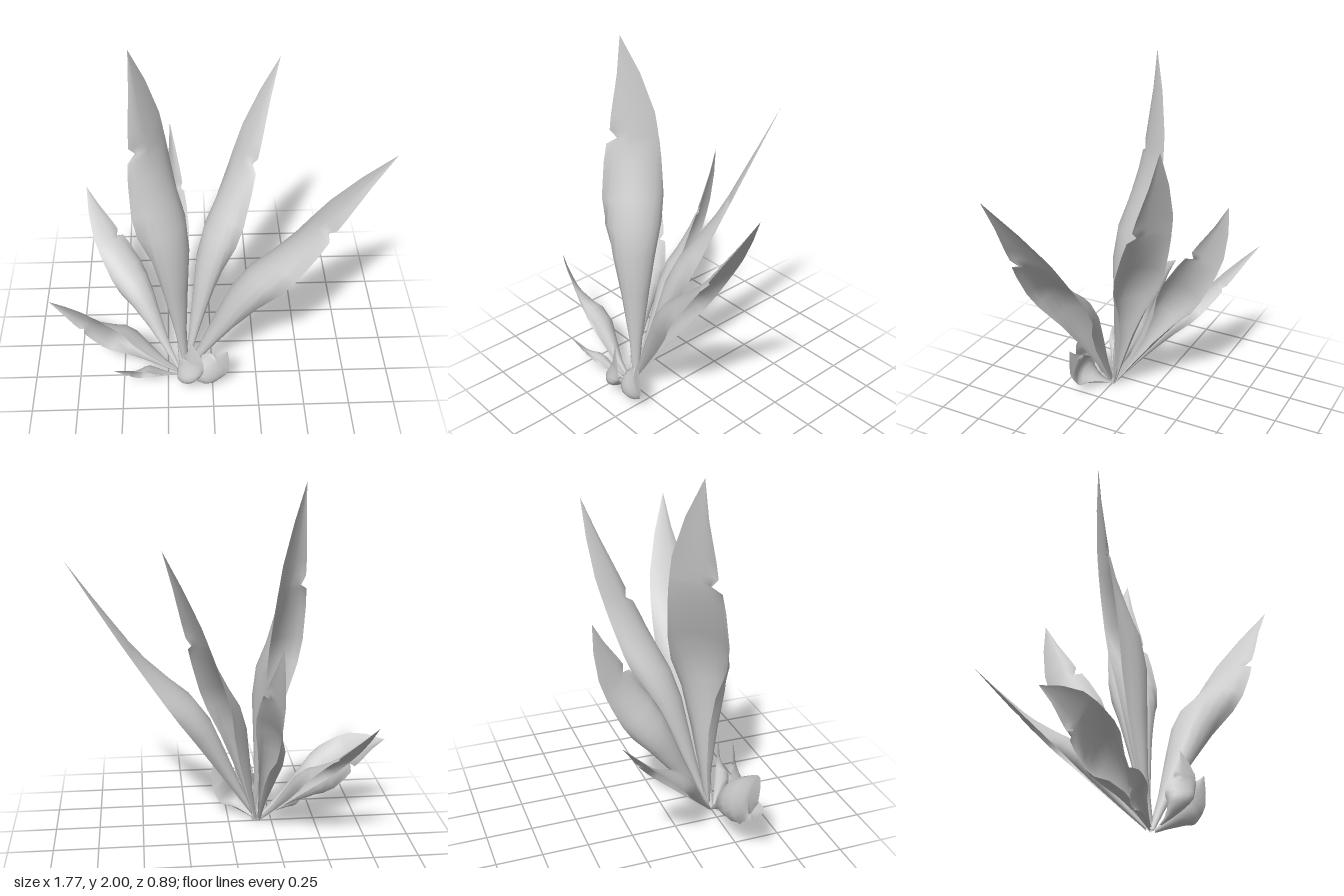
import * as THREE from 'three';

const V = (a) => new THREE.Vector3(...a);

// Blade outline: [position along blade, left width, right width, half angle of the curled section]
// The stem end curls almost into a tube, the tip is nearly flat, the right edge has a torn notch
const ROWS = [
  [0, 0.08, 0.08, 150],
  [0.12, 0.22, 0.22, 150],
  [0.25, 0.46, 0.46, 145],
  [0.36, 0.7, 0.7, 130],
  [0.45, 0.93, 0.93, 100],
  [0.52, 1, 1, 75],
  [0.62, 0.98, 0.87, 45],
  [0.675, 0.95, 0.74, 34],
  [0.69, 0.93, 0.38, 32],
  [0.715, 0.91, 0.6, 30],
  [0.76, 0.86, 0.52, 26],
  [0.88, 0.5, 0.22, 20],
  [1, 0, 0, 15],
];
const ACROSS = 10;

// Each leaf: base, middle and tip of the line between its edges, half-width vector to the notched edge, bulge side
const LEAVES = [
  ['tallLeaf', [-0.15, 0.02, 0.23], [-0.295, 1.09, 0.1], [-0.39, 2.0, 0.08], [-0.11, -0.01, 0.125], -1],
  ['backLeftLeaf', [-0.15, 0.02, 0.23], [0.1, 0.885, -0.06], [0.37, 1.74, -0.31], [0.065, -0.02, 0.115], 1],
  ['sideLeftLeaf', [-0.16, 0.01, 0.25], [0.37, 0.79, 0.265], [0.88, 1.56, 0.34], [0.035, 0.03, 0.16], 1],
  ['backLeaf', [-0.17, 0.02, 0.23], [-0.165, 0.7, -0.18], [-0.21, 1.27, -0.43], [0.05, 0.06, 0.09], 1],
  ['backRightLeaf', [-0.19, 0.02, 0.23], [-0.47, 0.44, -0.13], [-0.7, 0.84, -0.44], [0.08, 0.02, -0.07], 1],
  ['sideRightLeaf', [-0.18, 0.02, 0.26], [-0.56, 0.31, 0.27], [-0.89, 0.52, 0.18], [-0.04, -0.115, -0.05], 1],
  ['smallRightLeaf', [-0.2, 0.02, 0.27], [-0.39, 0.11, 0.355], [-0.55, 0.19, 0.39], [-0.015, -0.055, -0.03], 1],
  ['smallFrontLeaf', [-0.18, 0.03, 0.31], [-0.125, 0.18, 0.385], [-0.12, 0.39, 0.39], [-0.068, 0, -0.037], -1],
  ['smallLeftLeaf', [-0.16, 0.01, 0.26], [-0.01, 0.15, 0.34], [0.08, 0.32, 0.39], [-0.05, 0.075, -0.02], -1],
];

// Curled blade lofted along a curve through base, middle and tip
function leafGeometry(base, middle, tip, half, bulge) {
  const a = V(base), b = V(tip), side = V(half);
  const control = V(middle).multiplyScalar(2).addScaledVector(a, -0.5).addScaledVector(b, -0.5);
  const spine = new THREE.QuadraticBezierCurve3(a, control, b);
  const pos = [], index = [];
  for (const [t, left, right, degrees] of ROWS) {
    const center = spine.getPoint(t);
    const normal = side.clone().cross(spine.getTangent(t)).normalize();
    const angle = THREE.MathUtils.degToRad(degrees);
    const reach = Math.sin(Math.min(angle, Math.PI / 2));
    const height = 0.75 * bulge * left * side.length() / reach;
    for (let i = 0; i <= ACROSS; i++) {
      const u = (i / ACROSS) * 2 - 1;
      const p = center.clone()
        .addScaledVector(side, (u < 0 ? left : right) * Math.sin(u * angle) / reach)
        .addScaledVector(normal, height * (Math.cos(u * angle) - Math.cos(angle)));
      pos.push(p.x, Math.max(0, p.y), p.z);
    }
  }
  const n = ACROSS + 1;
  for (let r = 0; r < ROWS.length - 1; r++) {
    for (let i = 0; i < ACROSS; i++) {
      const k = r * n + i;
      index.push(k, k + 1, k + n);
      if (r < ROWS.length - 2) index.push(k + 1, k + n + 1, k + n);
    }
  }
  const geo = new THREE.BufferGeometry();
  geo.setAttribute('position', new THREE.Float32BufferAttribute(pos, 3));
  geo.setIndex(index);
  geo.computeVertexNormals();
  return geo;
}

export function createModel() {
  const plant = new THREE.Group();
  plant.name = 'plant';
  const material = new THREE.MeshStandardMaterial({ color: 0xcccccc, side: THREE.DoubleSide });
  for (const [name, ...shape] of LEAVES) {
    const leaf = new THREE.Mesh(leafGeometry(...shape), material);
    leaf.name = name;
    plant.add(leaf);
  }
  return plant;
}
